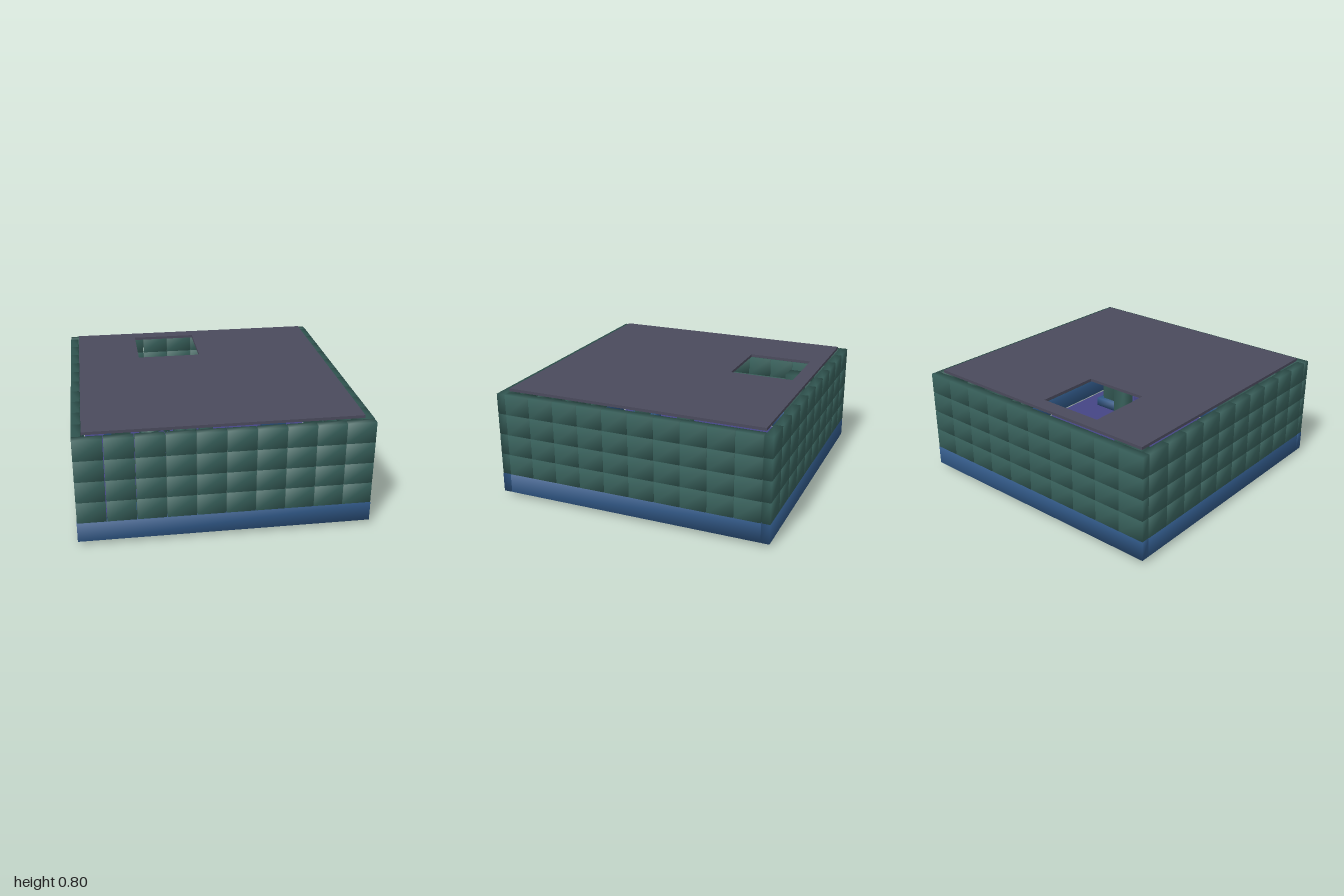
import * as THREE from 'three';
import { mergeVertices } from 'three/addons/utils/BufferGeometryUtils.js';

const mat = (color) => new THREE.MeshStandardMaterial({ color });
const tileMat = mat(0x375f5a);
const baseMat = mat(0x2f5684);
const roofMat = mat(0x4a4a5c);
const floorMat = mat(0x454585);
const underMat = mat(0x0a3a42);

// Box with averaged corner normals, for softly shaded blocks
function softBox(w, h, d) {
  const g = new THREE.BoxGeometry(w, h, d);
  g.deleteAttribute('normal');
  g.deleteAttribute('uv');
  const m = mergeVertices(g);
  m.computeVertexNormals();
  return m;
}

function add(parent, name, geometry, material, x, y, z) {
  const mesh = new THREE.Mesh(geometry, material);
  mesh.name = name;
  mesh.position.set(x, y, z);
  parent.add(mesh);
  return mesh;
}

// Box given by its minimum and maximum corners
function slab(parent, name, material, [x0, y0, z0], [x1, y1, z1]) {
  return add(parent, name, new THREE.BoxGeometry(x1 - x0, y1 - y0, z1 - z0), material,
    (x0 + x1) / 2, (y0 + y1) / 2, (z0 + z1) / 2);
}

// One wall: a plinth and four courses of ten blocks
function makeWall(name, length) {
  const wall = new THREE.Group();
  wall.name = name;
  const thick = 0.06, gap = 0.005, pitch = length / 10, rowH = 0.152;
  add(wall, 'plinth', softBox(length, 0.136, thick), baseMat, 0, 0.098, 0);
  const block = softBox(pitch - gap, rowH - gap, thick);
  for (let row = 0; row < 4; row++)
    for (let col = 0; col < 10; col++)
      add(wall, 'wallBlock', block, tileMat,
        (col - 4.5) * pitch, 0.168 + (row + 0.5) * rowH, 0);
  return wall;
}

export function createModel() {
  const model = new THREE.Group();
  model.name = 'chamber';

  // Walls: front and back run full width, the sides fit between them
  for (const s of [1, -1]) {
    const long = makeWall(s > 0 ? 'frontWall' : 'backWall', 2);
    long.position.z = s * 0.97;
    if (s < 0) long.rotation.y = Math.PI;
    const side = makeWall(s > 0 ? 'leftWall' : 'rightWall', 1.875);
    side.position.x = s * 0.97;
    side.rotation.y = s * Math.PI / 2;
    model.add(long, side);
  }

  // Floor, with a darker underside
  const e = 0.935;
  slab(model, 'floorUnderside', underMat, [-e, 0, -e], [e, 0.012, e]);
  slab(model, 'floor', floorMat, [-e, 0.012, -e], [e, 0.025, e]);

  // Roof with a square opening near the back
  const roof = new THREE.Shape();
  roof.moveTo(-e, -e).lineTo(e, -e).lineTo(e, e).lineTo(-e, e).closePath();
  const hole = new THREE.Path();
  hole.moveTo(-0.475, 0.36).lineTo(-0.475, 0.83).lineTo(0, 0.83).lineTo(0, 0.36).closePath();
  roof.holes.push(hole);
  const roofGeo = new THREE.ExtrudeGeometry(roof, { depth: 0.02, bevelEnabled: false });
  roofGeo.rotateX(-Math.PI / 2);
  add(model, 'roof', roofGeo, roofMat, 0, 0.78, 0);

  // Pillars inside, on square footings
  const pillar = (x, z, w, h) => {
    add(model, 'pillarFooting', softBox(w * 1.6, 0.07, w * 1.6), baseMat, x, 0.06, z);
    add(model, 'pillar', softBox(w, h, w), tileMat, x, 0.095 + h / 2, z);
  };
  pillar(0, 0, 0.1, 0.53);
  for (const x of [-0.67, 0.67])
    for (const z of [-0.67, 0.67]) pillar(x, z, 0.13, 0.53);

  // Low steps by the front wall
  for (let i = 0; i < 4; i++)
    slab(model, 'step', floorMat, [0.3, 0.025, 0.78 + i * 0.035], [0.56, 0.05 + i * 0.03, 0.815 + i * 0.035]);

  // Rubble under the opening: x, z, size, height, turn
  const rubble = [
    [-0.41, -0.76, 0.1, 0.08, 0.5], [-0.31, -0.69, 0.1, 0.14, 0.3],
    [-0.39, -0.61, 0.12, 0.1, -0.5], [-0.41, -0.52, 0.08, 0.06, 0.8],
    [-0.28, -0.74, 0.08, 0.17, 0.4], [-0.21, -0.69, 0.07, 0.07, -0.1],
    [-0.25, -0.63, 0.05, 0.05, 0.2], [-0.14, -0.59, 0.1, 0.08, 0],
    [-0.15, -0.52, 0.07, 0.06, 0.5], [-0.04, -0.56, 0.07, 0.06, -0.3],
    [-0.34, -0.64, 0.08, 0.15, 0.7], [-0.08, -0.68, 0.05, 0.05, 0.2],
  ];
  for (const [x, z, s, h, turn] of rubble) {
    const stone = add(model, 'rubbleBlock', softBox(s, h, s * 1.15), tileMat, x, 0.035 + h / 2, z);
    stone.rotation.set(0.15 * Math.sin(turn * 9), turn, 0.15 * Math.cos(turn * 7));
  }
  slab(model, 'plainBlock', floorMat, [-0.07, 0.025, -0.77], [0.05, 0.12, -0.65]);

  return model;
}
